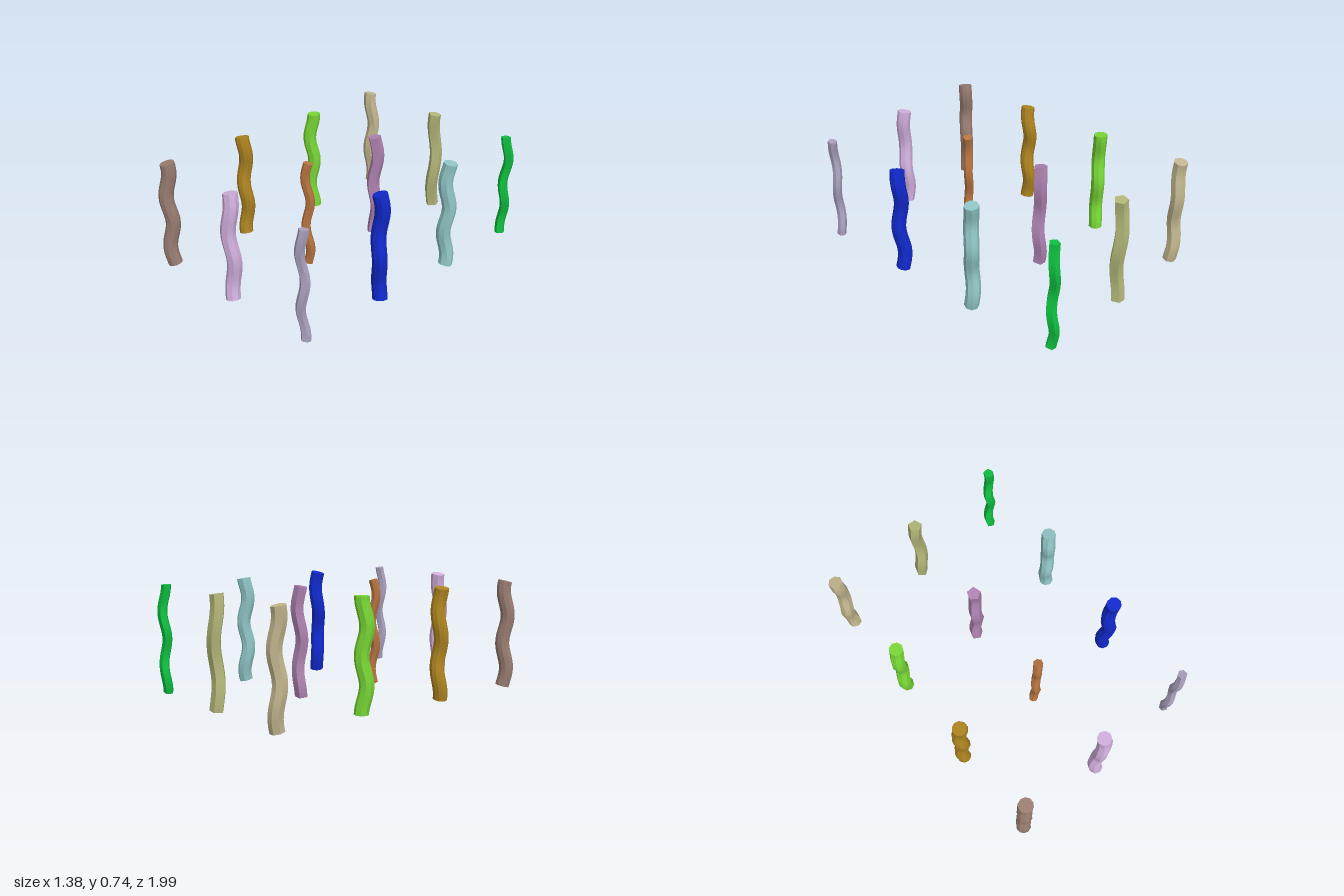
import * as THREE from 'three';
import { toCreasedNormals } from 'three/addons/utils/BufferGeometryUtils.js';

const BOTTOM = 0.01, HEIGHT = 0.715, SWAY = 0.011;
const COLS = 3, GAP_X = 0.63, GAP_Z = 0.627;

// Centre line that sways sideways; each wave is [turns over the height, phase]
class SwayingLine extends THREE.Curve {
  constructor(waveX, waveZ) {
    super();
    this.waves = [waveX, waveZ];
  }
  getPoint(t, target = new THREE.Vector3()) {
    const [x, z] = this.waves.map(([turns, phase]) =>
      SWAY * Math.sin(2 * Math.PI * turns * t + phase));
    return target.set(x, BOTTOM + HEIGHT * t, z);
  }
}

// Upright prism bent along a swaying line, each ring square to it
function wavyColumn(radius, sides, waveX, waveZ, color) {
  const line = new SwayingLine(waveX, waveZ);
  const geo = new THREE.CylinderGeometry(radius, radius, 1, sides, 36);
  const pos = geo.attributes.position;
  const up = new THREE.Vector3(0, 1, 0);
  const tilt = new THREE.Quaternion();
  const v = new THREE.Vector3();
  for (let i = 0; i < pos.count; i++) {
    const t = THREE.MathUtils.clamp(pos.getY(i) + 0.5, 0, 1);
    tilt.setFromUnitVectors(up, line.getTangent(t));
    v.set(pos.getX(i), 0, pos.getZ(i)).applyQuaternion(tilt).add(line.getPoint(t));
    pos.setXYZ(i, v.x, v.y, v.z);
  }
  return new THREE.Mesh(toCreasedNormals(geo, 0.45),
    new THREE.MeshStandardMaterial({ color }));
}

// Row by row from the back: name, radius, sides, wave in x, wave in z, colour
const columns = [
  ['beigeColumn', 0.046, 7, [1.6, 1.3], [2, 2.8], 0xc2b68e],
  ['oliveColumn', 0.046, 5, [1.4, 3.65], [1.5, 5.15], 0xb2b678],
  ['greenColumn', 0.034, 5, [2.2, 3.36], [1.95, 2.1], 0x0ec040],
  ['limeColumn', 0.046, 8, [2, 1.57], [2, -1.45], 0x78d836],
  ['purpleColumn', 0.045, 5, [2, -2.2], [1.6, 2.95], 0xae82b0],
  ['tealColumn', 0.047, 8, [1.9, 1.13], [2.2, 3.08], 0x8fc4c4],
  ['goldColumn', 0.047, 10, [2, 3.46], [2, 1.7], 0xae8420],
  ['orangeColumn', 0.031, 7, [2.2, -0.78], [2, 3.45], 0xb87440],
  ['blueColumn', 0.048, 9, [2.1, 2.57], [1.5, 3.6], 0x1129cc],
  ['brownColumn', 0.048, 10, [2, 2.45], [2, -0.4], 0x9a7d72],
  ['pinkColumn', 0.047, 8, [2, 3.1], [1.35, 2.34], 0xd2b0de],
  ['lavenderColumn', 0.031, 6, [2, 1.57], [2, 3.8], 0xa9a0bc],
];

export function createModel() {
  const model = new THREE.Group();
  model.name = 'wavyColumns';
  columns.forEach(([name, ...spec], i) => {
    const mesh = wavyColumn(...spec);
    mesh.name = name;
    mesh.position.set((i % COLS - 1) * GAP_X, 0, (Math.floor(i / COLS) - 1.5) * GAP_Z);
    model.add(mesh);
  });
  return model;
}
